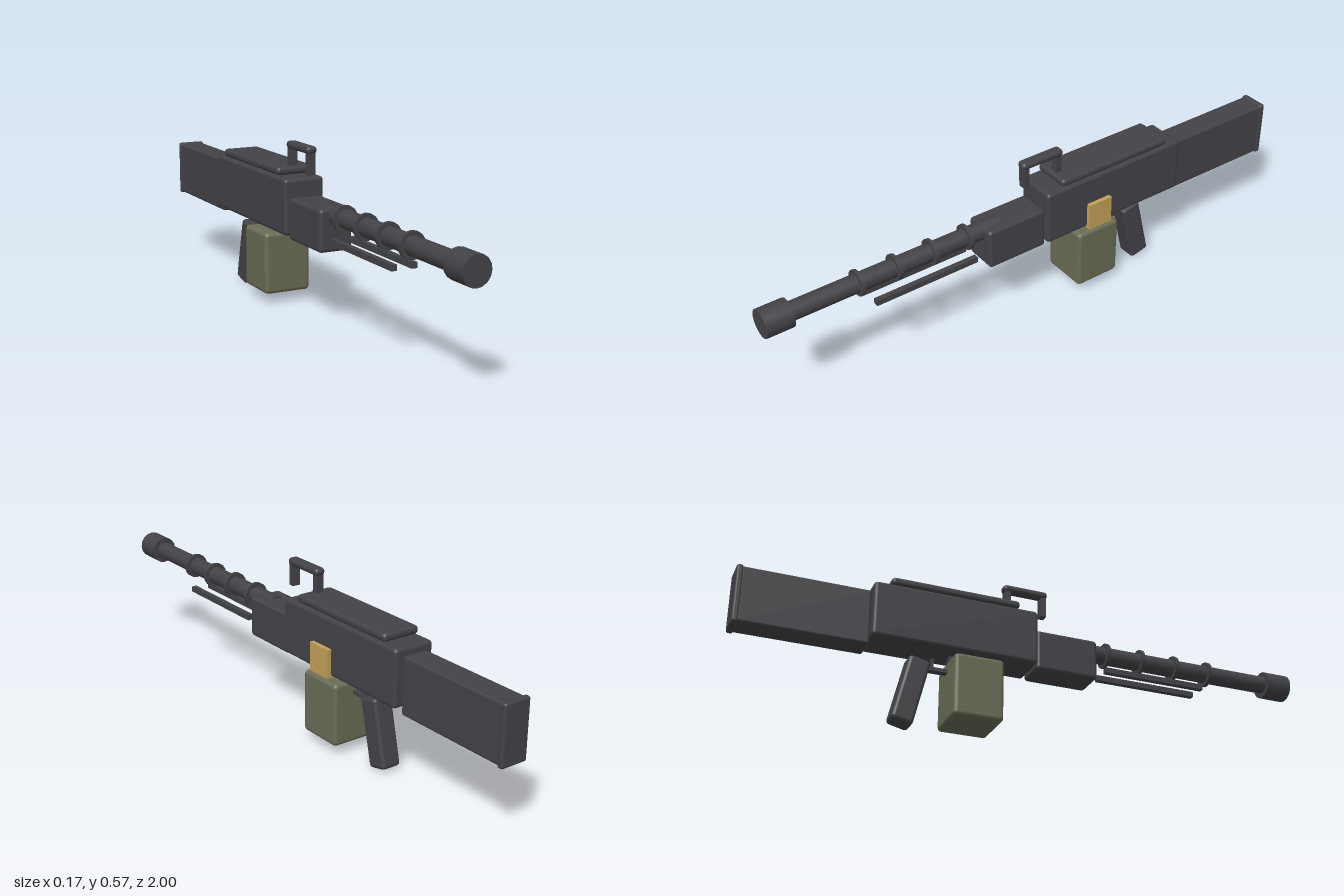
import * as THREE from 'three';
import { RoundedBoxGeometry } from 'three/addons/geometries/RoundedBoxGeometry.js';

const material = (name, color) => {
  const m = new THREE.MeshStandardMaterial({ color });
  m.name = name;
  return m;
};

export function createModel() {
  const group = new THREE.Group();
  const metal = material('dark gunmetal', 0x434247);
  const olive = material('olive', 0x696c55);
  const brass = material('brass', 0xc2a058);
  const CX = -0.002;      // centre line of the body
  const BARREL_Y = 0.387;

  const add = (name, geometry, mat) => {
    const mesh = new THREE.Mesh(geometry, mat);
    mesh.name = name;
    group.add(mesh);
    return mesh;
  };

  // Box from its width, y range and z range; r rounds the edges
  const box = (name, width, [y0, y1], [z0, z1], r = 0, mat = metal, x = CX) => {
    const h = y1 - y0, d = z1 - z0;
    const geometry = r > 0
      ? new RoundedBoxGeometry(width, h, d, 2, r)
      : new THREE.BoxGeometry(width, h, d);
    const mesh = add(name, geometry, mat);
    mesh.position.set(x, (y0 + y1) / 2, (z0 + z1) / 2);
    return mesh;
  };

  // Cylinder lying along z
  const tube = (name, radius, z0, z1, sides = 16) => {
    const geometry = new THREE.CylinderGeometry(radius, radius, z1 - z0, sides);
    geometry.rotateX(Math.PI / 2);
    add(name, geometry, metal).position.set(CX, BARREL_Y, (z0 + z1) / 2);
  };

  // Body
  box('receiver', 0.146, [0.279, 0.471], [-0.567, 0], 0.012);
  box('topCover', 0.136, [0.473, 0.501], [-0.508, -0.063], 0.012);
  box('handguard', 0.118, [0.267, 0.409], [0, 0.222], 0.012);
  box('stock', 0.09, [0.256, 0.448], [-0.985, -0.567], 0.008);
  box('buttPlate', 0.097, [0.252, 0.452], [-1, -0.978], 0.008);

  // Barrel, its rings and the muzzle
  tube('barrel', 0.031, 0.15, 0.95);
  tube('muzzle', 0.048, 0.907, 1);
  for (let i = 0; i < 4; i++) {
    const z = 0.277 + i * 0.132;
    tube('barrelRing', 0.044, z - 0.006, z + 0.006);
  }

  // Twin rods below the barrel
  for (const side of [-1, 1]) {
    box('rod', 0.019, [0.305, 0.324], [0.26, 0.635], 0, metal, CX + side * 0.0345);
  }

  // Carry handle
  box('handleBar', 0.038, [0.558, 0.584], [-0.103, 0.058], 0.012);
  for (const z of [0.043, -0.087]) {
    box('handlePost', 0.028, [0.489, 0.57], [z - 0.01, z + 0.01]);
  }

  // Raked grip
  const grip = add('grip', new RoundedBoxGeometry(0.072, 0.232, 0.074, 2, 0.012), metal);
  grip.position.set(CX, 0.132, -0.419);
  grip.rotation.x = 0.235;

  // Trigger and guard
  box('triggerGuard', 0.025, [0.217, 0.23], [-0.385, -0.282]);
  box('guardFront', 0.025, [0.217, 0.279], [-0.29, -0.278]);
  box('trigger', 0.016, [0.225, 0.262], [-0.35, -0.341]);

  // Ammunition box and feed belt
  box('ammoBox', 0.17, [0.047, 0.263], [-0.294, -0.124], 0.014, olive);
  box('feedBelt', 0.022, [0.275, 0.373], [-0.256, -0.163], 0, brass, 0.075);

  return group;
}
